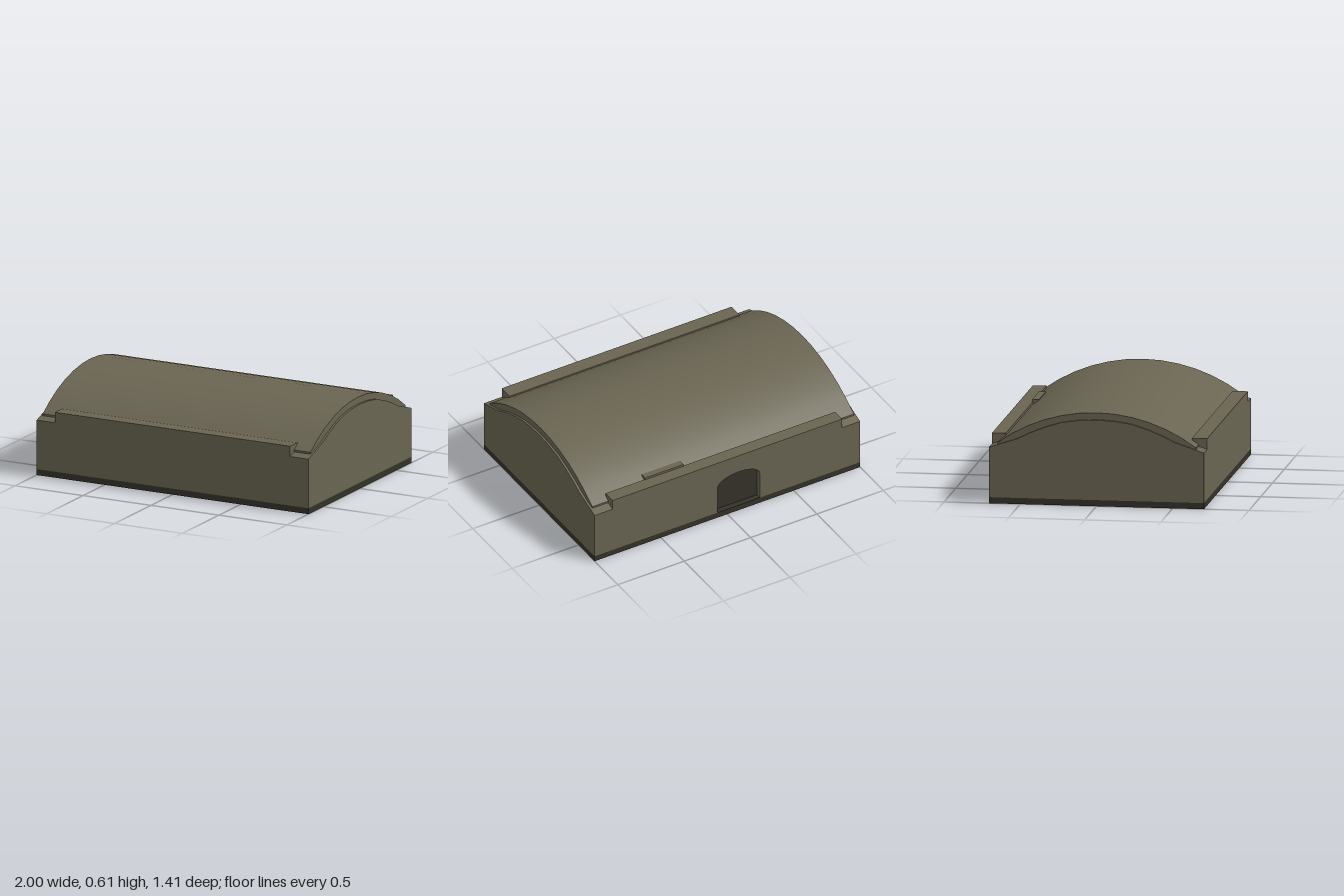
import * as THREE from 'three';
import { toCreasedNormals } from 'three/addons/utils/BufferGeometryUtils.js';

const HALF_Z = 0.705, SLAB = 0.04, EAVE = 0.37, NICHE = 0.04;

export function createModel() {
  const model = new THREE.Group();
  model.name = 'barrelRoofBuilding';
  const olive = new THREE.MeshStandardMaterial({ color: 0x6a6552 });
  olive.name = 'olive';
  const dark = new THREE.MeshStandardMaterial({ color: 0x343228 });
  dark.name = 'dark olive';

  const add = (name, geometry, material) => {
    const mesh = new THREE.Mesh(geometry, material);
    mesh.name = name;
    model.add(mesh);
    return mesh;
  };
  const box = (name, material, x0, x1, y0, y1, z0, z1) => {
    const mesh = add(name, new THREE.BoxGeometry(x1 - x0, y1 - y0, z1 - z0), material);
    mesh.position.set((x0 + x1) / 2, (y0 + y1) / 2, (z0 + z1) / 2);
  };
  // Extrude a (-z, y) profile along x, centred
  const alongX = (points, halfLength) => {
    const shape = new THREE.Shape(points.map(([s, y]) => new THREE.Vector2(s, y)));
    const geometry = new THREE.ExtrudeGeometry(shape, { depth: halfLength * 2, bevelEnabled: false });
    geometry.translate(0, 0, -halfLength).rotateY(Math.PI / 2);
    return toCreasedNormals(geometry, 0.3);
  };

  // Foundation slab
  box('foundation', dark, -1, 1, 0, SLAB, -HALF_Z, HALF_Z);

  // Body with arched end walls; its back stops short for the door recess
  const half = [[0.52, 0.43], [0.435, 0.472], [0.34, 0.51], [0.23, 0.545], [0.115, 0.562]];
  const crown = [...half, [0, 0.568], ...half.map(([s, y]) => [-s, y]).reverse()];
  const backS = HALF_Z - NICHE;
  const backY = EAVE + 0.06 * NICHE / (HALF_Z - 0.52);
  add('body', alongX([[-HALF_Z, SLAB], [backS, SLAB], [backS, backY], ...crown, [-HALF_Z, EAVE]], 1), olive);

  // Back wall with arched door opening
  const cx = -0.085, w = 0.16, spring = 0.235, rise = 0.075;
  const wall = new THREE.Shape();
  wall.moveTo(-1, SLAB);
  wall.lineTo(cx - w, SLAB);
  wall.lineTo(cx - w, spring);
  wall.absellipse(cx, spring, w, rise, Math.PI, 0, true);
  wall.lineTo(cx + w, SLAB);
  wall.lineTo(1, SLAB);
  wall.lineTo(1, EAVE);
  wall.lineTo(-1, EAVE);
  const wallGeometry = new THREE.ExtrudeGeometry(wall, { depth: NICHE, bevelEnabled: false, curveSegments: 8 });
  wallGeometry.translate(0, 0, -HALF_Z);
  const p = wallGeometry.attributes.position;
  for (let i = 0; i < p.count; i++) {
    // Slope the wall top to meet the body
    if (p.getY(i) > EAVE - 0.001 && p.getZ(i) > -HALF_Z + 0.001) p.setY(i, backY);
  }
  add('backWall', toCreasedNormals(wallGeometry, 0.5), olive);

  // Door panel inside the recess
  const door = new THREE.Shape();
  door.moveTo(-w, SLAB);
  door.lineTo(w, SLAB);
  door.lineTo(w, spring);
  door.absellipse(0, spring, w, rise, 0, Math.PI, false);
  const panel = add('door', new THREE.ShapeGeometry(door, 8), dark);
  panel.rotation.y = Math.PI;
  panel.position.set(cx, 0, -backS - 0.003);

  // Curved roof shell, slightly inset from the end walls
  const R = 1.1, top = 0.613, segments = 12, spread = Math.asin(0.65 / R);
  const arc = [];
  for (let i = 0; i <= segments; i++) {
    const a = spread * (1 - 2 * i / segments);
    arc.push([R * Math.sin(a), top - R * (1 - Math.cos(a))]);
  }
  add('roof', alongX([[-0.65, 0.38], [-0.5, 0.42], [0, 0.55], [0.5, 0.42], [0.65, 0.38], ...arc], 0.985), olive);

  // Parapets along the front and back eaves
  box('frontParapet', olive, -0.865, 0.865, 0.3, 0.44, 0.605, HALF_Z);
  box('backParapet', olive, -0.865, 0.865, 0.372, 0.44, -HALF_Z, -0.615);
  box('backParapetLower', olive, -0.865, 0.865, 0.36, 0.374, -HALF_Z, -0.66);

  // Small hatch on the rear roof slope
  box('roofHatch', olive, 0.28, 0.57, 0.4, 0.455, -0.62, -0.575);

  return model;
}
